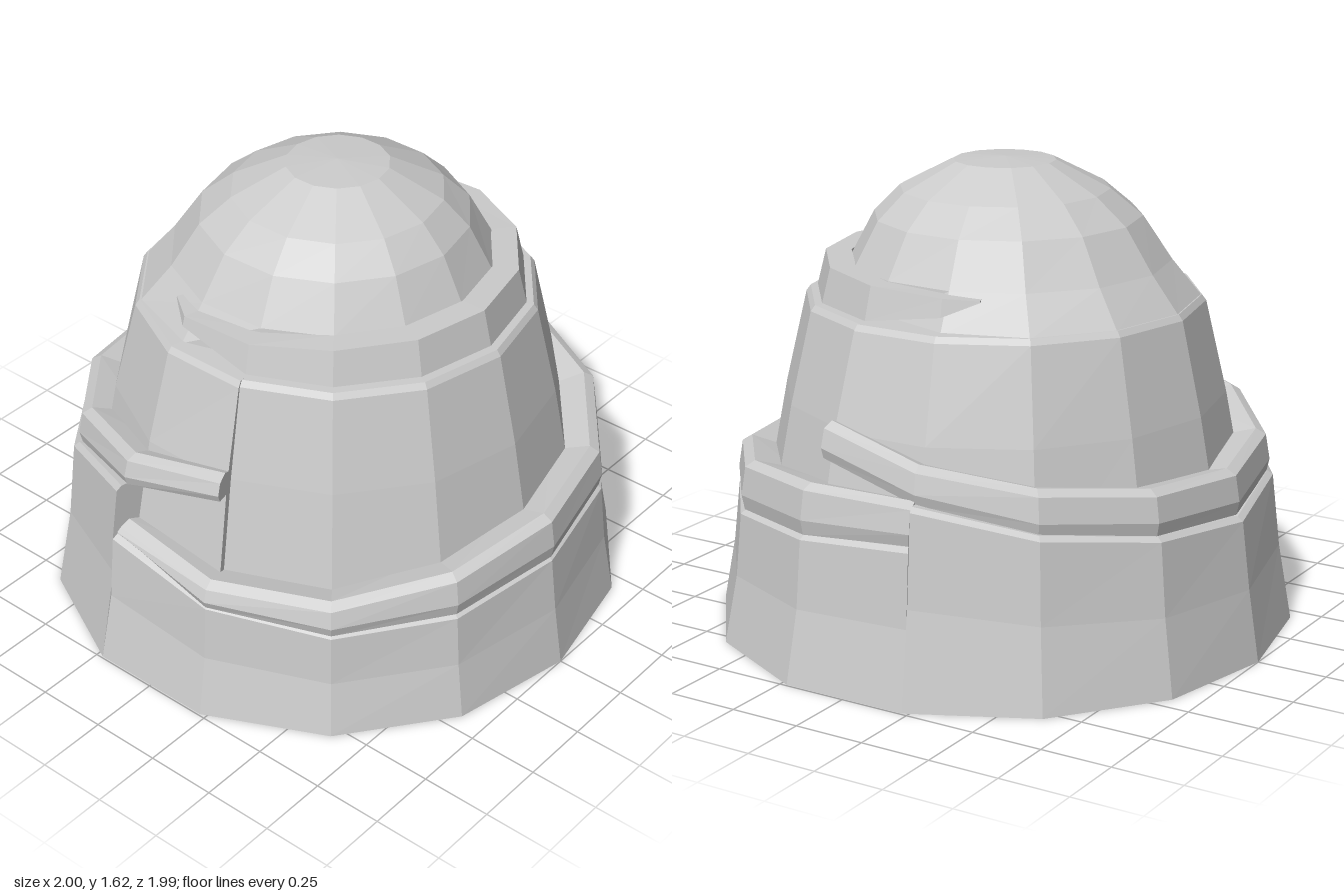
import * as THREE from 'three';

const STEP = 360 / 14; // fourteen-sided plan with corners on the x axis
const HALF = STEP / 2;

// Point at angle t (degrees from the front towards +x)
const polar = (t, r, y) => {
  const a = THREE.MathUtils.degToRad(t);
  return new THREE.Vector3(r * Math.sin(a), y, r * Math.cos(a));
};

// Joins profiles standing at successive angles; station = { t, p: [[r, y], ...] }
function loft(name, stations, ring) {
  const rows = stations.map(s => s.p.map(([r, y]) => polar(s.t, r, y)));
  const out = [];
  const tri = (a, b, c) => {
    const area = b.clone().sub(a).cross(c.clone().sub(a)).length();
    if (area > 1e-7) for (const v of [a, b, c]) out.push(v.x, v.y, v.z);
  };
  const n = rows[0].length;
  for (let i = 0; i + 1 < rows.length; i++) {
    for (let j = 0; j < (ring ? n : n - 1); j++) {
      const k = (j + 1) % n, A = rows[i], B = rows[i + 1];
      tri(A[j], B[j], B[k]);
      tri(A[j], B[k], A[k]);
    }
  }
  // End caps of closed sections
  if (ring) {
    const F = rows[0], L = rows[rows.length - 1];
    for (let j = 1; j + 1 < n; j++) {
      tri(F[0], F[j], F[j + 1]);
      tri(L[0], L[j + 1], L[j]);
    }
  }
  const g = new THREE.BufferGeometry();
  g.setAttribute('position', new THREE.Float32BufferAttribute(out, 3));
  g.computeVertexNormals();
  const mesh = new THREE.Mesh(g, new THREE.MeshStandardMaterial({
    color: 0xcccccc, flatShading: true, side: THREE.DoubleSide,
  }));
  mesh.name = name;
  return mesh;
}

// Ledge section: sloping outer face, chamfered lip, top running in to the wall
const ledge = (t, r, lo, hi, inner) => ({
  t,
  p: [[r - 0.01, lo], [r, lo + (hi - lo) * 0.3], [r - 0.015, hi - 0.02],
    [r - 0.05, hi], [inner, hi - 0.04], [inner, lo]],
});

export function createModel() {
  const group = new THREE.Group();

  // Base: the top follows the ledges and steps up where they overlap
  const baseTops = [
    0.50, 0.43, 0.39, 0.40, 0.43, 0.45, 0.47, 0.50, 0.53, // left half
    0.66, 0.58, 0.53, 0.50, 0.54, 0.60, 0.69,             // right half
  ];
  const base = baseTops.map((top, i) => {
    const t = -HALF + STEP * (i < 9 ? i : i - 1);
    const r = 1.0 - top * 0.14 + 0.02 * Math.abs(Math.cos(t * Math.PI / 180));
    return { t, p: [[0, 0], [1.0 + 0.02 * Math.abs(Math.cos(t * Math.PI / 180)), 0],
      [(r + 1) / 2 - 0.005, top * 0.5], [r, top - 0.015], [r - 0.02, top], [0.74, top]] };
  });
  base.push(base[0]);
  group.add(loft('base', base));

  // Middle wall, standing a little proud at the front and back panels
  const wall = [];
  const wallRow = (t, d) => wall.push({ t, p: [[0.845 + d, 0.4], [0.765 + d, 0.82],
    [0.69 + d * 0.3, 1.14], [0.675 + d * 0.3, 1.16], [0.5, 1.165]] });
  for (let i = 0; i <= 14; i++) {
    const t = HALF + i * STEP;
    const proud = { 0: 0, 6: 0.025, 7: 0.02, 8: 0.01, 12: 0.01, 13: 0.02, 14: 0.025 };
    if (i === 6) wallRow(t, 0);
    wallRow(t, proud[i] || 0);
  }
  wallRow(HALF, 0);
  group.add(loft('middleWall', wall));

  // Dome: spreads to the wall on the right, tucks behind the upper ledge on the left
  const dome = [];
  for (let i = 0; i <= 14; i++) {
    const t = HALF + i * STEP, s = Math.sin(t * Math.PI / 180);
    const low = s < -0.3 ? 0.675 : s < 0 ? 0.64 : 0.56;
    const shift = 0.025 * s;
    dome.push({ t, p: [[low, 1.155], [0.55 - shift, 1.28], [0.46 - shift * 0.5, 1.43],
      [0.36, 1.52], [0.175, 1.615], [0, 1.625]] });
  }
  group.add(loft('dome', dome));

  // Lower ledge, climbing from the front round the left to the back
  const lower = [
    [0.93, 0.49, 0.54], [0.965, 0.42, 0.51], [0.965, 0.385, 0.50],
    [0.955, 0.40, 0.55], [0.945, 0.43, 0.595], [0.945, 0.45, 0.61],
    [0.945, 0.47, 0.64], [0.945, 0.50, 0.67], [0.93, 0.53, 0.67],
  ].map(([r, lo, hi], i) => ledge(-HALF + i * STEP, r, lo, hi, 0.76));
  group.add(loft('lowerLedge', lower, true));

  // Right ledge, dipping on the right and rising to the front and back
  const right = [
    [0.85, 0.74, 0.86], [0.89, 0.655, 0.78], [0.91, 0.57, 0.72],
    [0.92, 0.53, 0.68], [0.915, 0.505, 0.66], [0.92, 0.535, 0.69],
    [0.91, 0.60, 0.74], [0.89, 0.685, 0.80], [0.85, 0.78, 0.87],
  ].map(([r, lo, hi], i) => ledge(180 - HALF + i * STEP, r, lo, hi, 0.7));
  group.add(loft('rightLedge', right, true));

  // Upper ledge round the foot of the dome, tapering to a tip at each end
  const upper = [[-24, 0.59, 1.25, 1.255], [-HALF, 0.635, 1.22, 1.255]];
  for (let i = 0; i < 7; i++) {
    const t = HALF + i * STEP;
    upper.push([t, 0.65, 1.165, i ? 1.275 + 0.015 * Math.sin(t * Math.PI / 180) : 1.265]);
  }
  upper.push([180 + HALF, 0.635, 1.21, 1.27], [204, 0.59, 1.255, 1.26]);
  group.add(loft('upperLedge', upper.map(([t, r, lo, hi]) => ({
    t, p: [[r, lo], [r - (hi - lo) * 0.25, hi], [0.53, hi], [0.53, lo]],
  })), true));

  return group;
}
